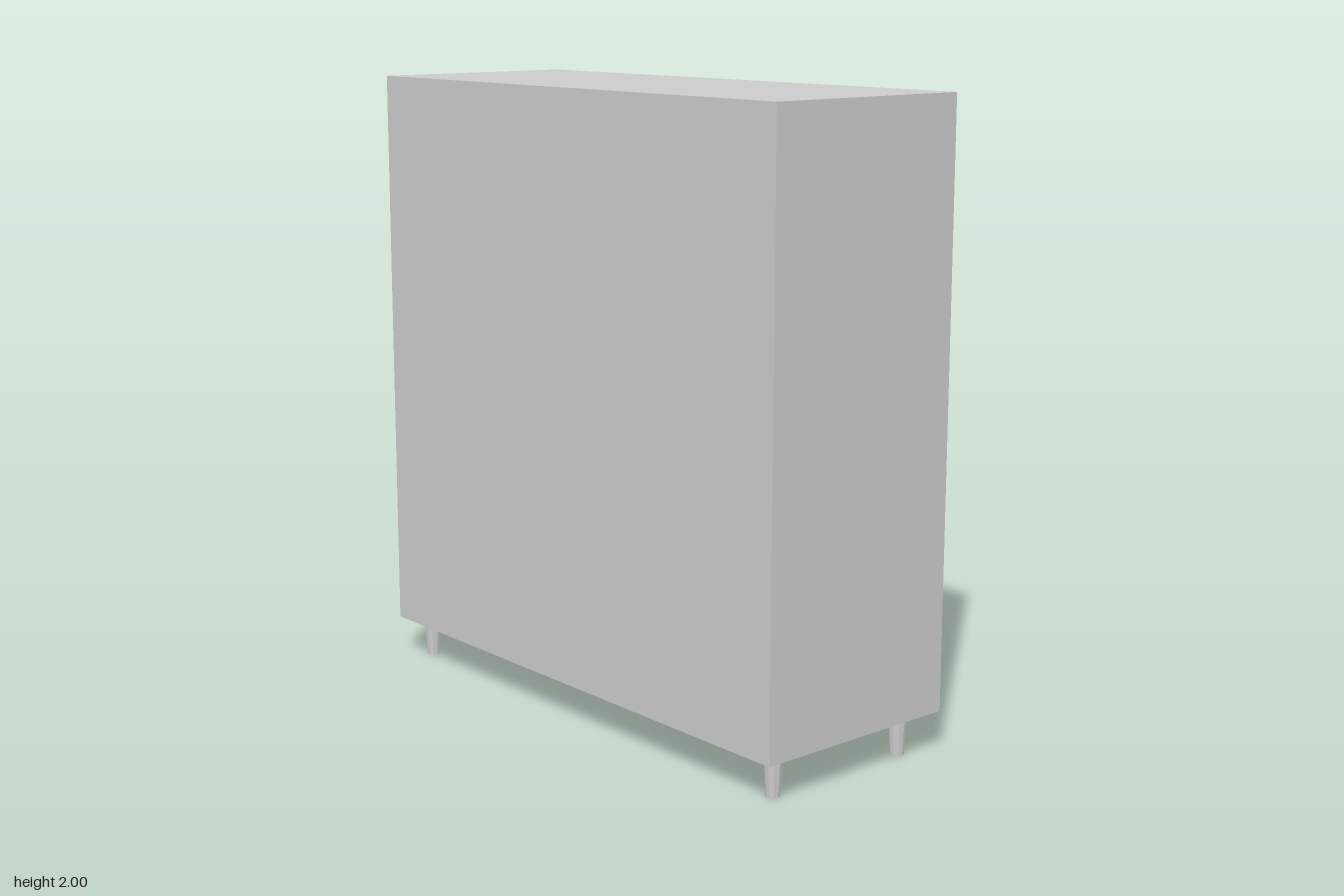
import * as THREE from 'three';

export function createModel() {
  const model = new THREE.Group();
  const grey = new THREE.MeshStandardMaterial({ color: 0xcccccc });
  const blue = new THREE.MeshStandardMaterial({ color: 0x2409b5 });
  const legGrey = new THREE.MeshStandardMaterial({ color: 0xcccccc, flatShading: true });

  // Adds a box given by its limits on each axis
  function panel(name, [x0, x1], [y0, y1], [z0, z1], material = grey, parent = model) {
    const mesh = new THREE.Mesh(new THREE.BoxGeometry(x1 - x0, y1 - y0, z1 - z0), material);
    mesh.position.set((x0 + x1) / 2, (y0 + y1) / 2, (z0 + z1) / 2);
    mesh.name = name;
    parent.add(mesh);
    return mesh;
  }

  // Adds a door hinged at its +z edge, swung open by an angle
  function door(name, frontX, y, hingeZ, width, angle, material = grey) {
    const hinge = new THREE.Group();
    hinge.name = name;
    hinge.position.set(frontX, 0, hingeZ);
    hinge.rotation.y = -angle;
    panel(name + 'Panel', [-0.034, 0], y, [-width, 0], material, hinge);
    model.add(hinge);
  }

  // Carcass
  const back = -0.375, front = 0.34, inside = -0.34;
  panel('topPanel', [back, front], [1.97, 2], [-0.935, 0.935]);
  panel('bottomPanel', [back, front], [0.13, 0.17], [-0.935, 0.935]);
  panel('backPanel', [back, inside], [0.17, 1.97], [-0.9, 0.9]);
  for (const [name, s] of [['leftSide', 1], ['rightSide', -1]]) {
    const z = s > 0 ? [0.9, 0.935] : [-0.935, -0.9];
    panel(name, [back, front], [0.17, 1.97], z);
  }

  // Inner divisions, with raised stops set back behind the doors
  panel('divider', [inside, front], [0.17, 1.97], [0.3, 0.335]);
  panel('middleDeck', [inside, front], [0.825, 0.865], [-0.9, 0.3]);
  panel('deckStop', [inside, 0.295], [0.865, 0.875], [-0.9, 0.3]);
  panel('ceilingStop', [inside, 0.295], [1.96, 1.97], [-0.9, 0.3]);
  panel('shelf', [inside, 0.27], [1.425, 1.465], [-0.9, 0.3]);

  // Doors
  door('tallDoor', 0.336, [0.175, 1.96], 0.897, 0.56, 0.066);
  door('blueDoor', 0.328, [0.875, 1.957], 0.299, 0.59, 0.028, blue);
  door('lowerDoorLeft', 0.334, [0.175, 0.82], 0.297, 0.594, 0);
  door('lowerDoorRight', 0.334, [0.175, 0.82], -0.301, 0.595, 0);

  // Tapered legs
  const legGeometry = new THREE.CylinderGeometry(0.03, 0.022, 0.13, 10);
  for (const x of [-0.29, 0.232]) {
    for (const z of [-0.858, 0.862]) {
      const leg = new THREE.Mesh(legGeometry, legGrey);
      leg.name = 'leg';
      leg.position.set(x, 0.065, z);
      model.add(leg);
    }
  }
  return model;
}
